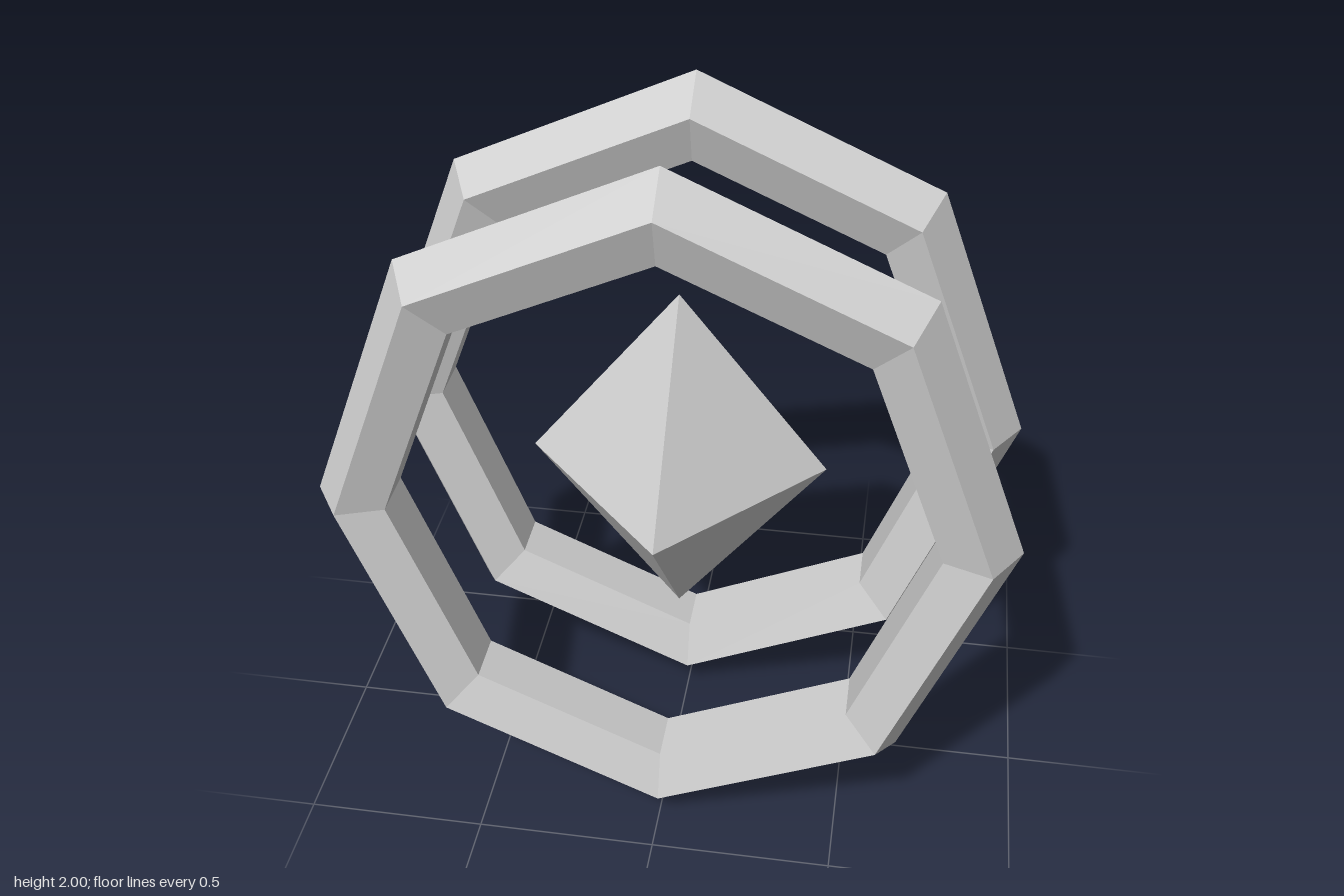
import * as THREE from 'three';

export function createModel() {
  const model = new THREE.Group();
  const grey = new THREE.MeshStandardMaterial({ color: 0xcccccc, flatShading: true });
  grey.name = 'light grey';

  // Twin octagonal rings with a five-sided section, ridge facing outwards
  const ringGeometry = new THREE.TorusGeometry(0.88, 0.12, 5, 8).toNonIndexed();
  ringGeometry.scale(0.926, 1, 1.03);
  ringGeometry.computeVertexNormals();
  for (const [name, z] of [['frontRing', 0.283], ['backRing', -0.283]]) {
    const ring = new THREE.Mesh(ringGeometry, grey);
    ring.name = name;
    ring.position.set(0, 1, z);
    model.add(ring);
  }

  // Floating eight-faced crystal in the middle
  const crystalGeometry = new THREE.OctahedronGeometry(1);
  crystalGeometry.scale(0.403, 0.507, 0.438);
  crystalGeometry.computeVertexNormals();
  const crystal = new THREE.Mesh(crystalGeometry, grey);
  crystal.name = 'crystal';
  crystal.position.y = 1.002;
  model.add(crystal);

  return model;
}
